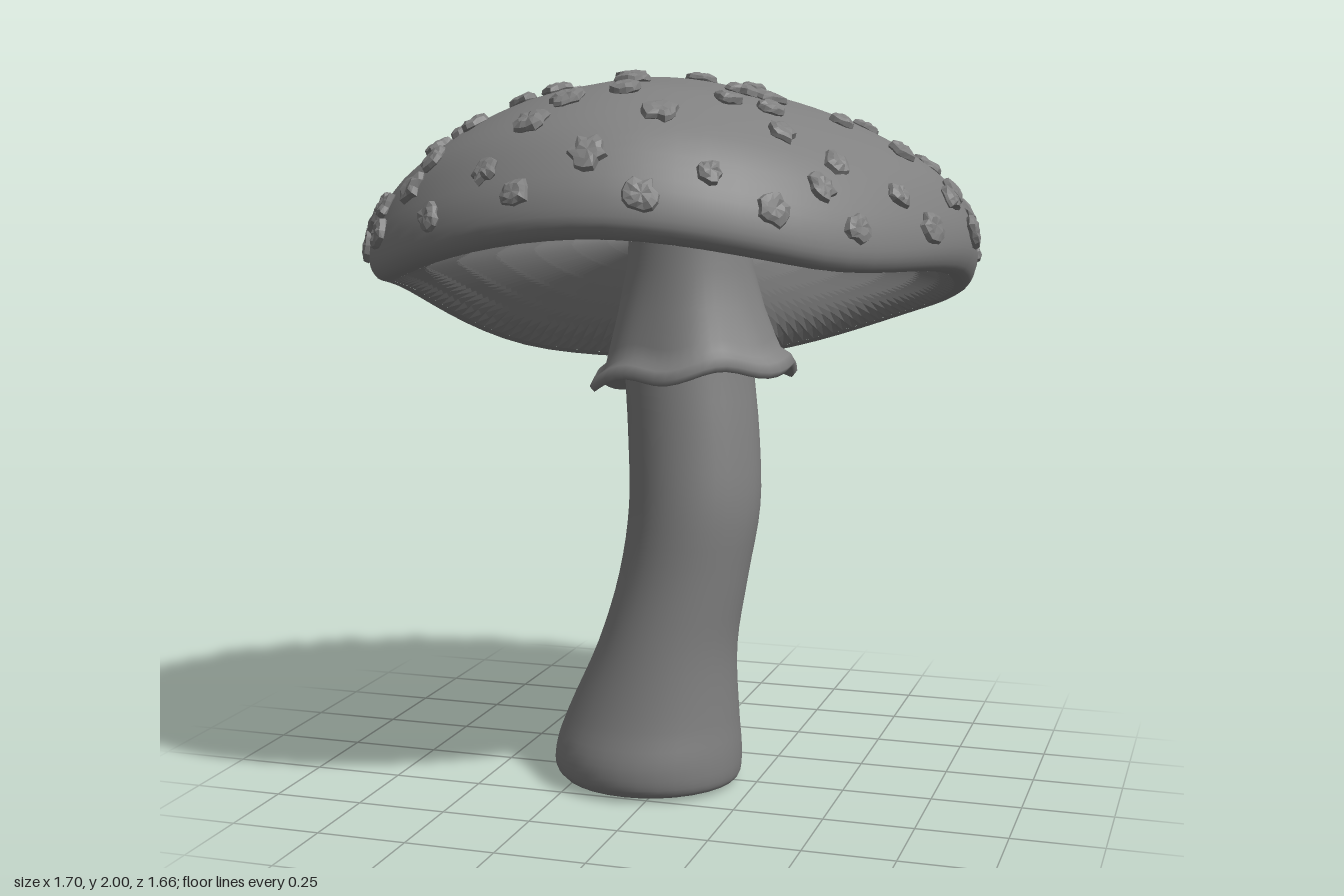
import * as THREE from 'three';

const { lerp } = THREE.MathUtils;
const material = (extra = {}) => new THREE.MeshStandardMaterial({ color: 0x808080, ...extra });

let seed = 7;
const rand = () => (seed = (seed * 16807) % 2147483647) / 2147483647;

// Surface closed around its axis: rows run from the top downwards, fn(t, angle, row, col) gives [x, y, z]
function loft(rows, cols, fn) {
  const pos = [], index = [];
  for (let i = 0; i <= rows; i++) {
    for (let j = 0; j < cols; j++) pos.push(...fn(i / rows, (j / cols) * Math.PI * 2, i, j));
  }
  for (let i = 0; i < rows; i++) {
    for (let j = 0; j < cols; j++) {
      const k = (j + 1) % cols;
      const a = i * cols + j, b = a + cols, c = i * cols + k, d = c + cols;
      index.push(a, b, c, b, d, c);
    }
  }
  const geo = new THREE.BufferGeometry();
  geo.setAttribute('position', new THREE.Float32BufferAttribute(pos, 3));
  geo.setIndex(index);
  geo.computeVertexNormals();
  return geo;
}

function addMesh(parent, name, geo, mat = material()) {
  const mesh = new THREE.Mesh(geo, mat);
  mesh.name = name;
  parent.add(mesh);
  return mesh;
}

const profile = (pts) => new THREE.SplineCurve(pts.map((p) => new THREE.Vector2(...p)));

// Cap: the front is fuller than the back, so two profiles are blended by angle
const frontProfile = profile([[0, 0.56], [0.25, 0.537], [0.44, 0.477], [0.625, 0.403], [0.79, 0.27],
  [0.855, 0.13], [0.86, 0.03], [0.83, -0.01], [0.79, -0.015]]);
const backProfile = profile([[0, 0.56], [0.25, 0.525], [0.447, 0.455], [0.65, 0.3], [0.75, 0.205],
  [0.808, 0.12], [0.835, 0.04], [0.82, -0.03], [0.78, -0.03]]);
const capTilt = new THREE.Matrix4()
  .makeRotationFromEuler(new THREE.Euler(-0.28, 0, 0.035))
  .setPosition(0, 1.39, 0.01);

function capProfile(t, a) {
  const f = frontProfile.getPoint(t), b = backProfile.getPoint(t);
  return b.lerp(f, (1 + Math.cos(a)) / 2);
}

// Uneven rim: radius change and lift at eight angles, counted from the front towards +x
const rimWarp = new THREE.CatmullRomCurve3([
  [0, -0.02], [-0.035, -0.045], [0, 0.07], [0.035, 0.1], [0, 0],
  [0.02, -0.025], [0, 0.04], [-0.005, -0.045],
].map(([radius, lift]) => new THREE.Vector3(radius, lift, 0)), true);

function capPoint(r, v, a) {
  const warp = rimWarp.getPoint(a / (Math.PI * 2)), s = r / 0.83;
  const rr = r + warp.x * s * s;
  return [0.98 * rr * Math.sin(a), v + warp.y * s * s, rr * Math.cos(a)];
}

const capGeometry = () => loft(32, 64, (t, a) => {
  const p = capProfile(t, a);
  return capPoint(p.x, p.y, a);
}).applyMatrix4(capTilt);

// Gills: a hollow underside with fine radial pleats
const gillRise = profile([[0, 0], [0.15, 0.06], [0.45, 0.12], [0.75, 0.17], [1, 0.2]]);
const gillGeometry = () => loft(9, 288, (t, a, i, j) => {
  const rim = capProfile(1, a), g = gillRise.getPoint(t);
  const pleat = (j % 2 ? 1 : -1) * 0.018 * Math.sin(Math.PI * Math.min(1, t * 1.6 + 0.02) * 0.5);
  return capPoint(lerp(rim.x, 0.02, g.x), rim.y + g.y + pleat, a);
}).applyMatrix4(capTilt);

// Stem sections: height, x range, z range
const stemSections = [
  [1.62, -0.12, 0.18, -0.21, 0.1], [1.45, -0.13, 0.2, -0.215, 0.115], [1.2, -0.14, 0.22, -0.2, 0.15],
  [1.0, -0.125, 0.245, -0.18, 0.175], [0.8, -0.115, 0.255, -0.16, 0.2], [0.6, -0.14, 0.225, -0.145, 0.215],
  [0.4, -0.2, 0.195, -0.16, 0.24], [0.2, -0.29, 0.2, -0.2, 0.275], [0.1, -0.325, 0.207, -0.225, 0.3],
  [0.04, -0.325, 0.205, -0.222, 0.297], [0.015, -0.305, 0.195, -0.21, 0.28], [0, -0.26, 0.14, -0.16, 0.23],
];
function stemGeometry() {
  const centres = new THREE.CatmullRomCurve3(stemSections.map(([y, l, r, b, f]) =>
    new THREE.Vector3((l + r) / 2, y, (b + f) / 2)));
  const radii = new THREE.CatmullRomCurve3(stemSections.map(([y, l, r, b, f]) =>
    new THREE.Vector3((r - l) / 2, y, (f - b) / 2)));
  const rows = 44;
  return loft(rows + 1, 32, (t, a, i) => {
    const u = Math.min(1, i / rows);
    const c = centres.getPoint(u), r = radii.getPoint(u), s = i > rows ? 0 : 1;
    return [c.x + s * r.x * Math.sin(a), Math.max(0, c.y), c.z + s * r.z * Math.cos(a)];
  });
}

// Skirt: radius, height and ruffle strength from the collar down to the turned-under brim
const skirtRows = [
  [0.165, 1.58, 0], [0.175, 1.46, 0.1], [0.205, 1.34, 0.4], [0.237, 1.24, 0.8], [0.25, 1.2, 1],
  [0.278, 1.18, 1], [0.292, 1.155, 1], [0.28, 1.14, 1], [0.225, 1.17, 0.7], [0.18, 1.19, 0],
];
const skirtGeometry = () => loft(skirtRows.length - 1, 54, (t, a, i) => {
  const [r, y, ruffle] = skirtRows[i];
  const rr = r + 0.008 * ruffle * Math.sin(6 * a + 0.6);
  const x = rr * Math.sin(a) * 1.02, z = rr * Math.cos(a) * 0.93;
  const tilt = ruffle * (0.11 * x + 0.1 * z);
  return [0.035 + 0.01 * ruffle + x, y + tilt - 0.014 * ruffle * Math.cos(6 * a), -0.045 - 0.01 * ruffle + z];
});

// Wart: a low, ragged scab lying in the xz plane
function wartGeometry(radius) {
  const cols = 13;
  const ragged = Array.from({ length: cols }, () => 0.72 + 0.5 * rand());
  const rows = [[0, 0.02], [0.55, 0.021], [0.92, 0.015], [1, 0.003], [0.7, -0.012]];
  return loft(rows.length - 1, cols, (t, a, i, j) => {
    const [s, h] = rows[i];
    const r = radius * s * lerp(1, ragged[j], s);
    return [r * Math.sin(a), h + (i ? 0.006 * (rand() - 0.5) : 0), r * Math.cos(a)];
  });
}

// Wart places on the crown, as x, z pairs seen from above
const crownWarts = [
  -0.22, -0.67, 0.02, -0.71, 0.18, -0.71, 0.35, -0.69, -0.46, -0.58, 0, -0.61, 0.49, -0.58, -0.09, -0.5,
  -0.61, -0.45, -0.37, -0.45, -0.24, -0.46, 0.08, -0.46, 0.28, -0.44, 0.37, -0.38, 0.61, -0.45, 0.49, -0.35,
  -0.23, -0.34, -0.36, -0.26, -0.04, -0.27, 0.37, -0.26, -0.7, -0.26, -0.58, -0.29, -0.21, -0.22, 0.14, -0.21,
  0.25, -0.19, 0.03, -0.12, 0.51, -0.13, 0.68, -0.15, -0.51, -0.09, -0.37, -0.04, -0.15, -0.03, -0.74, -0.01,
  -0.27, 0.07, 0.1, 0.08, 0.24, 0.05, -0.47, 0.1, -0.59, 0.11, 0.65, 0.09, 0.5, 0.14, -0.07, 0.15,
  0.26, 0.23, 0.32, 0.2, -0.5, 0.27, -0.53, 0.38, -0.41, 0.43, -0.3, 0.35, -0.21, 0.34, 0, 0.35,
  0.36, 0.35, 0.27, 0.42, 0.42, 0.46, 0.55, 0.42, 0.03, 0.51, -0.1, 0.56, 0.16, 0.61, -0.16, 0.66,
  -0.46, 0.57, -0.64, 0.47, 0.77, 0, -0.73, 0.33,
];

function addWarts(group, cap) {
  const warts = new THREE.Group();
  warts.name = 'warts';
  group.add(warts);
  const mat = material({ flatShading: true });
  const ray = new THREE.Raycaster();
  const up = new THREE.Vector3(0, 1, 0);
  const place = (origin, direction) => {
    ray.set(origin, direction.normalize());
    const hit = ray.intersectObject(cap)[0];
    if (!hit) return;
    const wart = addMesh(warts, 'wart', wartGeometry(0.034 + 0.014 * rand()), mat);
    wart.position.copy(hit.point);
    wart.quaternion.setFromUnitVectors(up, hit.face.normal);
  };
  for (let i = 0; i < crownWarts.length; i += 2) {
    place(new THREE.Vector3(crownWarts[i], 3, crownWarts[i + 1]), new THREE.Vector3(0, -1, 0));
  }
  // Staggered ring around the steep edge of the cap
  const count = 36;
  for (let i = 0; i < count; i++) {
    const a = ((i + 0.4 * rand()) / count) * Math.PI * 2;
    const h = rimWarp.getPoint(a / (Math.PI * 2)).y + (i % 2 ? 0.07 : 0.16) + 0.03 * rand();
    const out = new THREE.Vector3(2 * Math.sin(a), h, 2 * Math.cos(a)).applyMatrix4(capTilt);
    const axis = new THREE.Vector3(0, h, 0).applyMatrix4(capTilt);
    place(out, axis.sub(out));
  }
}

export function createModel() {
  const group = new THREE.Group();
  group.name = 'mushroom';
  addMesh(group, 'stem', stemGeometry());
  addMesh(group, 'skirt', skirtGeometry(), material({ side: THREE.DoubleSide }));
  const cap = addMesh(group, 'cap', capGeometry());
  addMesh(group, 'gills', gillGeometry(), material({ flatShading: true, side: THREE.DoubleSide }));
  addWarts(group, cap);
  return group;
}
